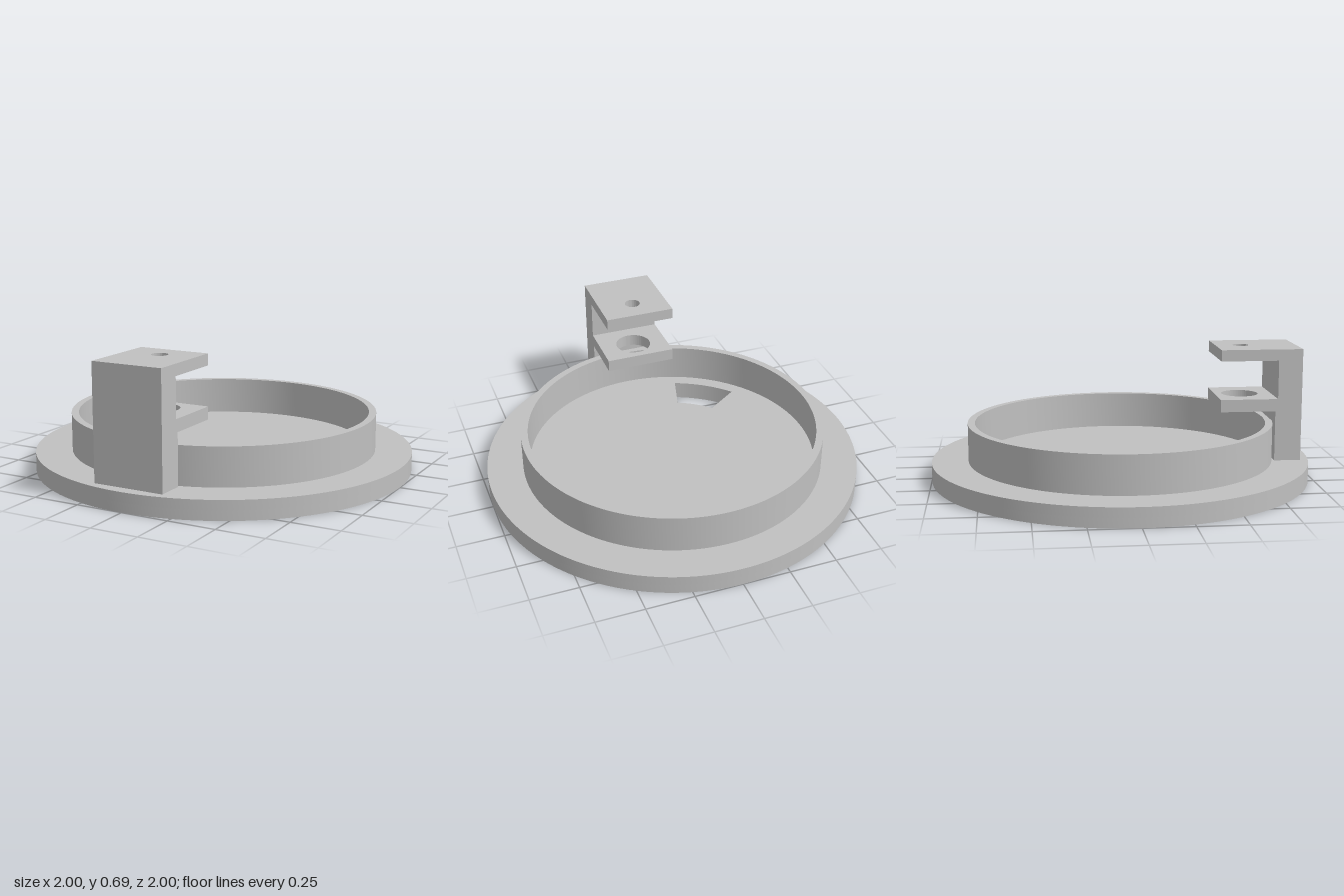
import * as THREE from 'three';
import { toCreasedNormals } from 'three/addons/utils/BufferGeometryUtils.js';

const rad = THREE.MathUtils.degToRad;

// Shapes are drawn in plan, with shape y = -z
function disc(r, z = 0) {
  const s = new THREE.Shape();
  s.absarc(0, -z, r, 0, Math.PI * 2, false);
  return s;
}

function rect(x0, x1, z0, z1) {
  const s = new THREE.Shape();
  s.moveTo(x0, -z1);
  s.lineTo(x1, -z1);
  s.lineTo(x1, -z0);
  s.lineTo(x0, -z0);
  s.closePath();
  return s;
}

export function createModel() {
  const model = new THREE.Group();
  model.name = 'flangedLid';
  const gray = new THREE.MeshStandardMaterial({ color: 0xc0c0c0 });
  gray.name = 'gray';

  // Raises a plan shape with holes from y0 to y1
  function slab(name, shape, holes, y0, y1, parent = model) {
    shape.holes.push(...holes);
    const geo = new THREE.ExtrudeGeometry(shape, { depth: y1 - y0, bevelEnabled: false, curveSegments: 96 });
    geo.rotateX(-Math.PI / 2);
    geo.translate(0, y0, 0);
    const mesh = new THREE.Mesh(toCreasedNormals(geo, rad(30)), gray);
    mesh.name = name;
    parent.add(mesh);
  }

  // Fan-shaped opening through the floor
  const fan = () => {
    const p = new THREE.Path();
    p.absarc(0, 0, 0.7, rad(219.7), rad(248.4), false);
    p.absarc(0, 0, 0.491, rad(246), rad(221.8), true);
    p.closePath();
    return p;
  };

  // Four shallow pockets in the underside, one on each axis
  const pockets = [];
  for (const s of [-1, 1]) {
    const c = s * 0.848;
    pockets.push(rect(c - 0.045, c + 0.045, -0.1, 0.1));
    pockets.push(rect(-0.1, 0.1, c - 0.045, c + 0.045));
  }

  // Base disc, in two layers so that the pockets are blind
  slab('baseUnderside', disc(1), [fan(), ...pockets], 0, 0.05);
  slab('baseFloor', disc(1), [fan()], 0.05, 0.1);

  // Raised rim
  slab('rim', disc(0.808), [disc(0.77)], 0.1, 0.3);

  // Bracket: a column with two drilled shelves reaching inwards
  const bracket = new THREE.Group();
  bracket.name = 'bracket';
  model.add(bracket);
  const w = 0.19, back = 0.51, front = 0.94, holeZ = 0.645;
  slab('lowerColumn', rect(-w, w, 0.8, front), [], 0.1, 0.365, bracket);
  slab('lowerShelf', rect(-w, w, back, front), [disc(0.097, holeZ)], 0.365, 0.43, bracket);
  slab('upperColumn', rect(-w, w, 0.813, front), [], 0.43, 0.633, bracket);
  slab('upperShelf', rect(-w, w, back, front), [disc(0.042, holeZ)], 0.633, 0.692, bracket);

  return model;
}
